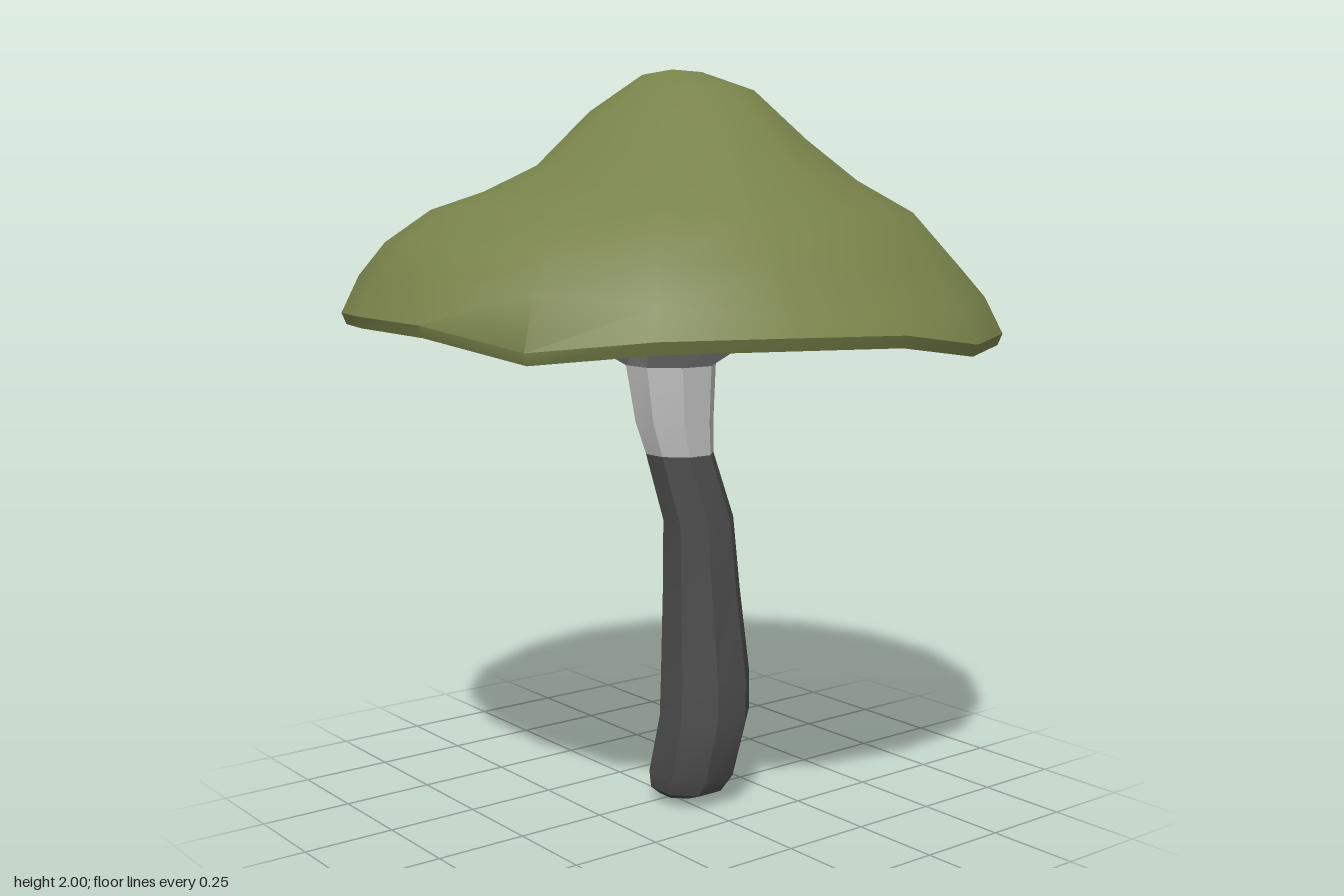
import * as THREE from 'three';
import { toCreasedNormals } from 'three/addons/utils/BufferGeometryUtils.js';

const material = (name, color) => {
  const m = new THREE.MeshStandardMaterial({ color });
  m.name = name;
  return m;
};

// Skin a stack of rings, each a list of [x, y, z]; a ring of one point closes an end
function loft(rings, crease) {
  const pos = [], index = [], start = [];
  for (const ring of rings) {
    start.push(pos.length / 3);
    for (const p of ring) pos.push(...p);
  }
  for (let i = 0; i < rings.length - 1; i++) {
    const n = Math.max(rings[i].length, rings[i + 1].length);
    const at = (r, j) => start[r] + (j % n) % rings[r].length;
    for (let j = 0; j < n; j++) {
      const a = at(i, j), b = at(i, j + 1), c = at(i + 1, j + 1), d = at(i + 1, j);
      if (a !== b) index.push(a, b, c);
      if (c !== d) index.push(a, c, d);
    }
  }
  const geo = new THREE.BufferGeometry();
  geo.setAttribute('position', new THREE.Float32BufferAttribute(pos, 3));
  geo.setIndex(index);
  return toCreasedNormals(geo, crease);
}

// Eight-sided stem section fitted to its extents in x and z
function stemRing([y, x0, x1, z0, z1]) {
  return Array.from({ length: 8 }, (_, j) => {
    const a = (j + 0.5) * Math.PI / 4, k = 0.5 / Math.cos(Math.PI / 8);
    return [(x0 + x1) / 2 + (x1 - x0) * k * Math.sin(a), y, (z0 + z1) / 2 + (z1 - z0) * k * Math.cos(a)];
  });
}

// Wavy rim heights, from the front round through +x
const rim = [1.32, 1.28, 1.285, 1.31, 1.34, 1.355, 1.37, 1.39, 1.375,
  1.345, 1.29, 1.3, 1.335, 1.345, 1.34, 1.29, 1.32, 1.325];

// Cap heights at each radius, along the four axes
const radii = [0.83, 0.76, 0.64, 0.5, 0.36, 0.22, 0.08];
const right = [1.42, 1.49, 1.62, 1.745, 1.85, 1.94, 1.995];
const front = [1.4, 1.49, 1.63, 1.725, 1.84, 1.945, 1.99];
const left = [1.46, 1.55, 1.635, 1.68, 1.755, 1.89, 1.985];
const back = [1.47, 1.545, 1.625, 1.68, 1.73, 1.885, 1.985];

function capGeometry() {
  const ring = (r, height) => rim.map((h, j) => {
    const a = j * Math.PI * 2 / rim.length;
    return [r * Math.sin(a), height(h, Math.sin(a), Math.cos(a)), r * Math.cos(a)];
  });
  const rings = [
    [[0, 1.345, 0]],
    ring(0.76, h => 1.355 + 0.25 * (h - 1.33)), // flat underside
    ring(0.82, h => h + 0.01),                  // lip
    ring(0.865, h => h),
    ring(0.877, h => h + 0.03),
  ];
  radii.forEach((r, i) => rings.push(ring(r, (h, s, c) => {
    const dent = s > 0 && c > 0 && (i === 3 || i === 4) ? 0.06 * s * c : 0;
    return s * s * (s > 0 ? right : left)[i] + c * c * (c > 0 ? front : back)[i] - dent;
  })));
  rings.push([[0, 2, 0]]);
  return loft(rings, 0.8);
}

export function createModel() {
  const group = new THREE.Group();
  const add = (name, geo, mat) => {
    const mesh = new THREE.Mesh(geo, mat);
    mesh.name = name;
    group.add(mesh);
  };
  const green = material('olive green', 0x78824a);
  const dark = material('charcoal grey', 0x4c4c4c);
  const light = material('light grey', 0xbebebe);
  const mid = material('mid grey', 0x989898);
  mid.side = THREE.DoubleSide;

  add('cap', capGeometry(), green);

  // Stem sections: y, x range, z range
  const neck = [0.98, -0.09, 0.085, -0.05, 0.125];
  const collar = [1.22, -0.13, 0.105, -0.1, 0.125];
  const stem = [
    [0.015, -0.04, 0.08, -0.04, 0.08],
    [0.04, -0.07, 0.115, -0.065, 0.14],
    [0.09, -0.08, 0.145, -0.07, 0.17],
    [0.25, -0.06, 0.18, -0.047, 0.188],
    [0.36, -0.055, 0.182, -0.047, 0.184],
    [0.6, -0.05, 0.155, -0.035, 0.163],
    [0.8, -0.055, 0.13, -0.02, 0.158],
    neck,
  ].map(stemRing);
  add('stem', loft([[[0.02, 0, 0.02]], ...stem], 0.6), dark);
  add('upperStem', loft([neck, [1.07, -0.115, 0.09, -0.07, 0.125], collar].map(stemRing), 0.6), light);

  // Ragged skirt flaring from the stem to the underside of the cap
  const tips = [[0.13, 0.26], [0.27, 0.18], [0.18, -0.05], [0.08, -0.28],
    [-0.12, -0.13], [-0.36, -0.07], [-0.2, 0.16], [-0.02, 0.33]];
  add('skirt', loft([stemRing(collar), tips.map(([x, z]) => [x, 1.352, z])], 0.4), mid);

  return group;
}
